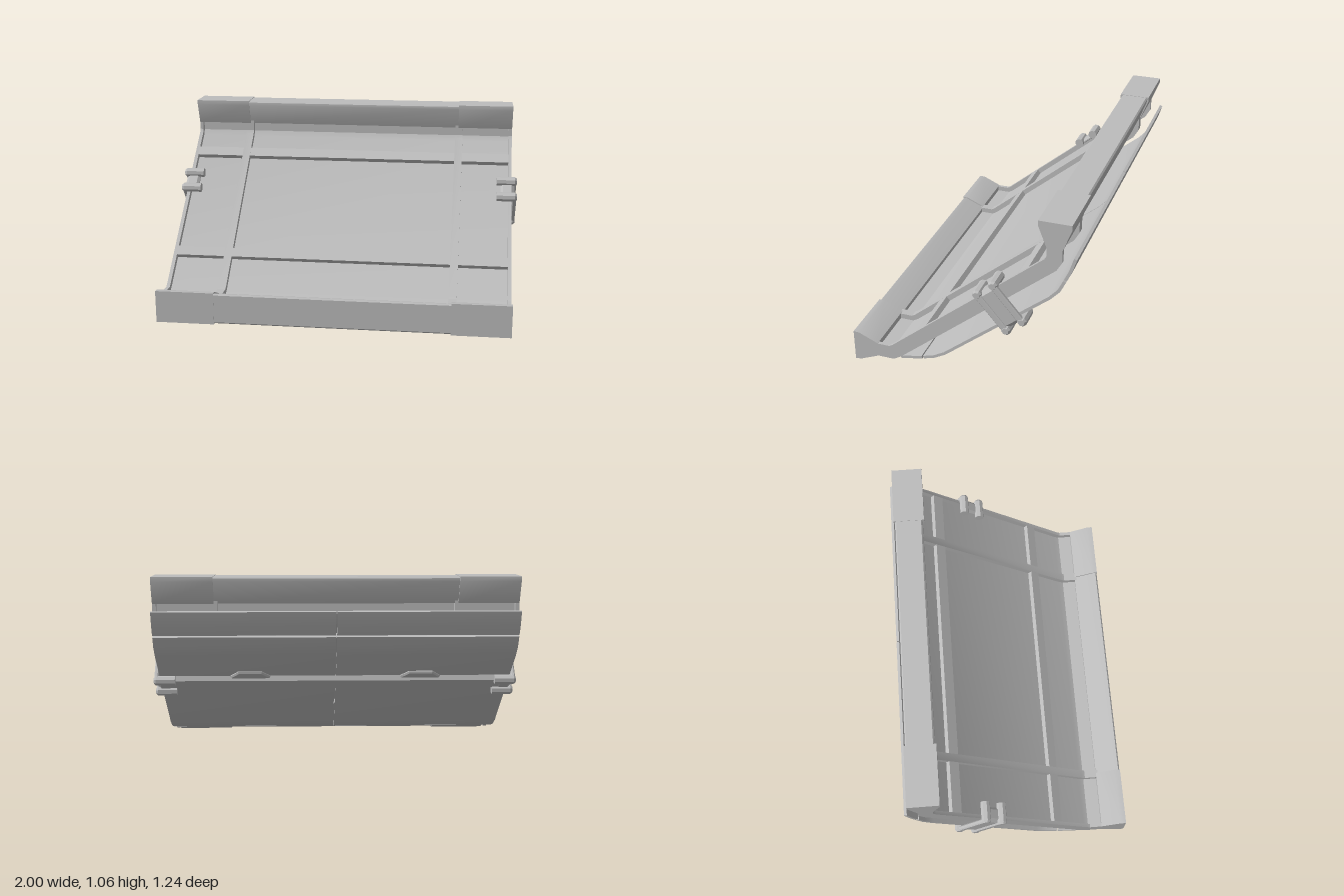
import * as THREE from 'three';
import { toCreasedNormals } from 'three/addons/utils/BufferGeometryUtils.js';

const SLOPE = THREE.MathUtils.degToRad(40);

export function createModel() {
  const model = new THREE.Group();
  const grey = new THREE.MeshStandardMaterial({ color: 0xbcbcbc });
  grey.name = 'plain grey';

  const add = (parent, name, geometry) => {
    const mesh = new THREE.Mesh(geometry, grey);
    mesh.name = name;
    parent.add(mesh);
    return mesh;
  };
  const toShape = (pts) => new THREE.Shape(pts.map(([a, b]) => new THREE.Vector2(a, b)));

  // Side outline given as [z, y], extruded from x0 to x1
  const slab = (pts, x0, x1) => {
    const g = new THREE.ExtrudeGeometry(toShape(pts), { depth: x1 - x0, bevelEnabled: false });
    g.rotateY(-Math.PI / 2).translate(x1, 0, 0);
    return toCreasedNormals(g, 0.5);
  };

  // Outline of a strip of half thickness h along an open [z, y] path
  const strip = (path, h) => {
    const p = path.map(([a, b]) => new THREE.Vector2(a, b));
    const dirs = p.slice(1).map((q, i) => q.clone().sub(p[i]).normalize());
    const left = [], right = [];
    p.forEach((q, i) => {
      const d0 = dirs[Math.max(i - 1, 0)], d1 = dirs[Math.min(i, dirs.length - 1)];
      const n = new THREE.Vector2(-d0.y - d1.y, d0.x + d1.x).normalize();
      const k = h / (n.x * -d1.y + n.y * d1.x);
      left.push([q.x + n.x * k, q.y + n.y * k]);
      right.unshift([q.x - n.x * k, q.y - n.y * k]);
    });
    return left.concat(right);
  };

  // Sloping frame: thin recessed plate with thick borders, ribs and rails
  const framePath = [[0.49, 0.09], [0.4, 0.09], [0.37, 0.108], [-0.485, 0.825], [-0.505, 0.86], [-0.505, 0.93]];
  add(model, 'framePlate', slab(strip(framePath, 0.01), -0.96, 0.96));
  for (const s of [-1, 1]) {
    for (const [name, a, b] of [['frameBorder', 0.95, 0.97], ['frameRib', 0.627, 0.672]]) {
      add(model, name, slab(strip(framePath, 0.04), Math.min(s * a, s * b), Math.max(s * a, s * b)));
    }
  }
  const onSlope = (z) => [z, 0.108 + 0.8386 * (0.37 - z)];
  for (const [z0, z1] of [[0.214, 0.169], [-0.346, -0.394]]) {
    add(model, 'crossRail', slab(strip([onSlope(z0), onSlope(z1)], 0.0395), -0.955, 0.955));
  }

  // Flared edge beams, with a more chamfered middle section
  const lowerEnd = [[0.62, 0], [0.62, 0.18], [0.588, 0.178], [0.48, 0.131], [0.48, 0.05], [0.588, 0.003]];
  const lowerMiddle = [[0.618, 0.012], [0.618, 0.168], [0.61, 0.176], [0.588, 0.17], [0.48, 0.123],
    [0.48, 0.058], [0.588, 0.011], [0.61, 0.004]];
  const upperEnd = [[-0.42, 1.06], [-0.59, 1.06], [-0.59, 1.034], [-0.545, 0.915], [-0.465, 0.915], [-0.42, 1.034]];
  const upperMiddle = [[-0.437, 1.058], [-0.575, 1.058], [-0.583, 1.05], [-0.582, 1.034], [-0.539, 0.915],
    [-0.471, 0.915], [-0.428, 1.034], [-0.429, 1.05]];
  for (const [name, end, middle] of [['lowerBeam', lowerEnd, lowerMiddle], ['upperBeam', upperEnd, upperMiddle]]) {
    add(model, name + 'Middle', slab(middle, -0.646, 0.646));
    add(model, name + 'RightEnd', slab(end, -0.97, -0.646));
    add(model, name + 'LeftEnd', slab(end, 0.646, 0.97));
  }

  // Curved backing panels in two halves, three pieces each
  const panels = {
    lowerPanel: [[0.345, 0.075], [0.222, 0.101]],
    middlePanel: [[0.213, 0.104], [0.15, 0.124], [0.09, 0.158], [-0.485, 0.635], [-0.53, 0.685], [-0.558, 0.742]],
    upperPanel: [[-0.562, 0.752], [-0.585, 0.8], [-0.61, 0.88]],
  };
  for (const [name, path] of Object.entries(panels)) {
    add(model, name, slab(strip(path, 0.008), -0.97, -0.003));
    add(model, name, slab(strip(path, 0.008), 0.003, 0.97));
  }

  // Clamp assembly: local y is normal to the slope, local z runs downhill
  const clamps = new THREE.Group();
  clamps.name = 'clampAssembly';
  clamps.position.set(0, 0.53, -0.23);
  clamps.rotation.x = SLOPE;
  model.add(clamps);

  // Under beam between the clamps
  add(clamps, 'underBeam', slab([[-0.056, -0.085], [0.056, -0.085], [0.04, -0.116], [-0.04, -0.116]], -0.93, 0.93));

  // Octagonal pads under the panel
  for (const s of [-1, 1]) {
    const pad = toShape([[-0.11, -0.055], [-0.065, -0.1], [0.065, -0.1], [0.11, -0.055],
      [0.11, 0.055], [0.065, 0.1], [-0.065, 0.1], [-0.11, 0.055]]);
    const g = new THREE.ExtrudeGeometry(pad, {
      depth: 0.01, bevelThickness: 0.008, bevelSize: 0.008, bevelOffset: -0.008, bevelSegments: 1 });
    g.rotateX(Math.PI / 2).translate(s * 0.47, -0.085, 0);
    add(clamps, 'underPad', g);
  }

  // C-shaped piece hugging the frame edge, extruded across z
  const hook = (s, outer, inner, tip, top, grip, width, z, bevel) => {
    const c = 0.02;
    const half = [[outer, top - c], [outer - c, top], [tip + c * 0.7, top], [tip, top - c * 0.6],
      [tip, grip + 0.004], [tip + 0.008, grip], [inner, grip]];
    const pts = half.concat(half.map(([x, y]) => [x, -y]).reverse()).map(([x, y]) => [s * x, y]);
    const g = new THREE.ExtrudeGeometry(toShape(pts), {
      depth: width - 2 * bevel, bevelThickness: bevel, bevelSize: bevel, bevelOffset: -bevel, bevelSegments: 1 });
    return g.translate(0, 0, z - width / 2 + bevel);
  };
  for (const s of [-1, 1]) {
    add(clamps, 'clampPlate', hook(s, 0.988, 0.972, 0.905, 0.118, 0.095, 0.11, 0.004, 0.002));
    for (const z of [-0.052, 0.06]) {
      add(clamps, 'clampBar', hook(s, 0.997, 0.973, 0.885, 0.132, 0.096, 0.036, z, 0.006));
      // Faceted knobs at both ends of each bar
      for (const e of [-1, 1]) {
        const knob = new THREE.CylinderGeometry(0.027, 0.027, 0.105, 8).toNonIndexed();
        knob.rotateY(Math.PI / 8).rotateZ(Math.PI / 2).translate(s * 0.9345, e * 0.119, z);
        add(clamps, 'clampKnob', toCreasedNormals(knob, 0.3));
        const cap = new THREE.CylinderGeometry(0.018, 0.027, 0.012, 8).toNonIndexed();
        cap.rotateY(Math.PI / 8).rotateZ(-s * Math.PI / 2).translate(s * 0.993, e * 0.119, z);
        add(clamps, 'clampKnobCap', toCreasedNormals(cap, 0.3));
      }
    }
  }
  return model;
}
